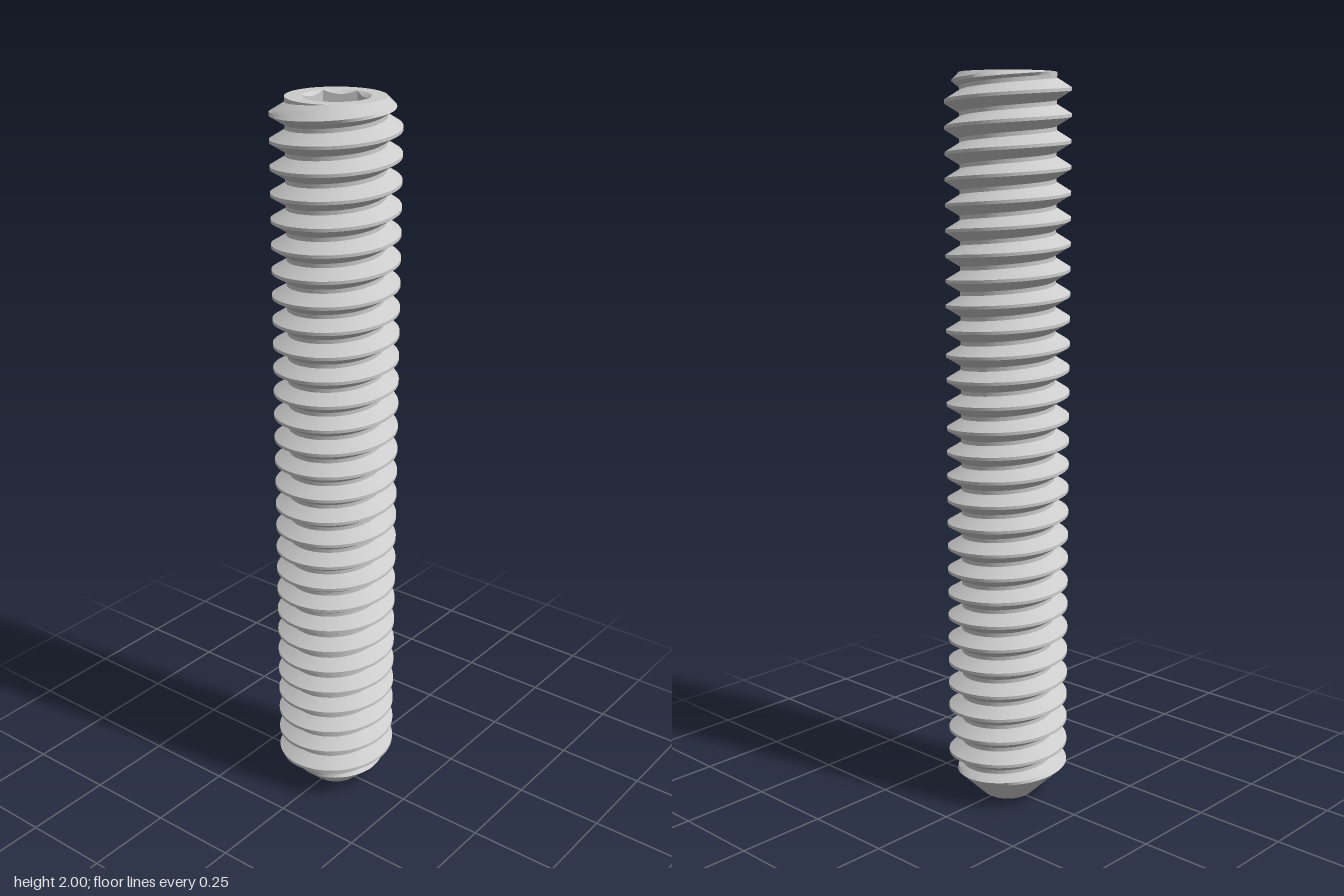
import * as THREE from 'three';
import { toCreasedNormals } from 'three/addons/utils/BufferGeometryUtils.js';

const LENGTH = 2, PITCH = 1 / 15, CREST = 0.167, ROOT = 0.128, TIP = 0.07;
const SEGMENTS = 96;
const HEX_CORNER = 0.0875, SOCKET_DEPTH = 0.16;

// Surface swept around y: point(row, angle) returns [radius, height]; rows run so the skin faces outwards
function sweep(name, rows, point) {
  const positions = [];
  const indices = [];
  const stride = SEGMENTS + 1;
  for (let i = 0; i < rows; i++) {
    for (let j = 0; j <= SEGMENTS; j++) {
      const angle = (j / SEGMENTS) * Math.PI * 2;
      const [r, y] = point(i, angle);
      positions.push(r * Math.cos(angle), y, -r * Math.sin(angle));
    }
  }
  const vertex = (k) => new THREE.Vector3().fromArray(positions, k * 3);
  const addTriangle = (a, b, c) => {
    // skip collapsed triangles where rows meet
    const area = new THREE.Triangle(vertex(a), vertex(b), vertex(c)).getArea();
    if (area > 1e-9) indices.push(a, b, c);
  };
  for (let i = 0; i < rows - 1; i++) {
    for (let j = 0; j < SEGMENTS; j++) {
      const a = i * stride + j, b = a + 1, c = a + stride, d = c + 1;
      addTriangle(a, b, d);
      addTriangle(a, d, c);
    }
  }
  const geometry = new THREE.BufferGeometry();
  geometry.setAttribute('position', new THREE.Float32BufferAttribute(positions, 3));
  geometry.setIndex(indices);
  const mesh = new THREE.Mesh(
    toCreasedNormals(geometry, 0.5),
    new THREE.MeshStandardMaterial({ color: 0xcccccc })
  );
  mesh.name = name;
  return mesh;
}

// Thread radius at a height and angle: flat crest, sloped flanks, flat root
function threadRadius(y, angle) {
  const turn = y / PITCH - angle / (Math.PI * 2);
  const fromCrest = Math.abs(turn - Math.round(turn));
  const t = THREE.MathUtils.clamp((fromCrest - 0.0625) / (0.42 - 0.0625), 0, 1);
  return CREST + (ROOT - CREST) * t;
}

// Distance from the axis to the hexagon wall, corners on the x axis
function hexRadius(angle) {
  const sector = Math.PI / 3;
  const fromFlat = (angle % sector) - sector / 2;
  return HEX_CORNER * Math.cos(sector / 2) / Math.cos(fromFlat);
}

export function createModel() {
  const group = new THREE.Group();
  group.name = 'setScrew';

  // Helical thread, cut by a chamfer at the top and a cone at the bottom
  const steps = [-0.0625, 0.0625, 0.18, 0.3, 0.42, 0.58, 0.7, 0.82];
  const turns = Math.ceil(LENGTH / PITCH) + 3;
  group.add(sweep('threadedShank', turns * steps.length, (i, angle) => {
    const turn = Math.floor(i / steps.length) - 2 + steps[i % steps.length];
    const y = THREE.MathUtils.clamp((turn + angle / (Math.PI * 2)) * PITCH, 0, LENGTH);
    const r = Math.min(threadRadius(y, angle), TIP + y * 1.04, ROOT + LENGTH - y);
    return [r, y];
  }));

  // Hollow cone in the tip
  const cup = [[0, 0.042], [TIP, 0]];
  group.add(sweep('cupPoint', cup.length, (i) => cup[i]));

  // Top face, countersink and hexagonal socket
  group.add(sweep('hexSocket', 5, (i, angle) => {
    const hex = hexRadius(angle);
    return [
      [ROOT, LENGTH],
      [HEX_CORNER, LENGTH],
      [hex, LENGTH - (HEX_CORNER - hex) * 0.8],
      [hex, LENGTH - SOCKET_DEPTH],
      [0, LENGTH - SOCKET_DEPTH],
    ][i];
  }));

  return group;
}
